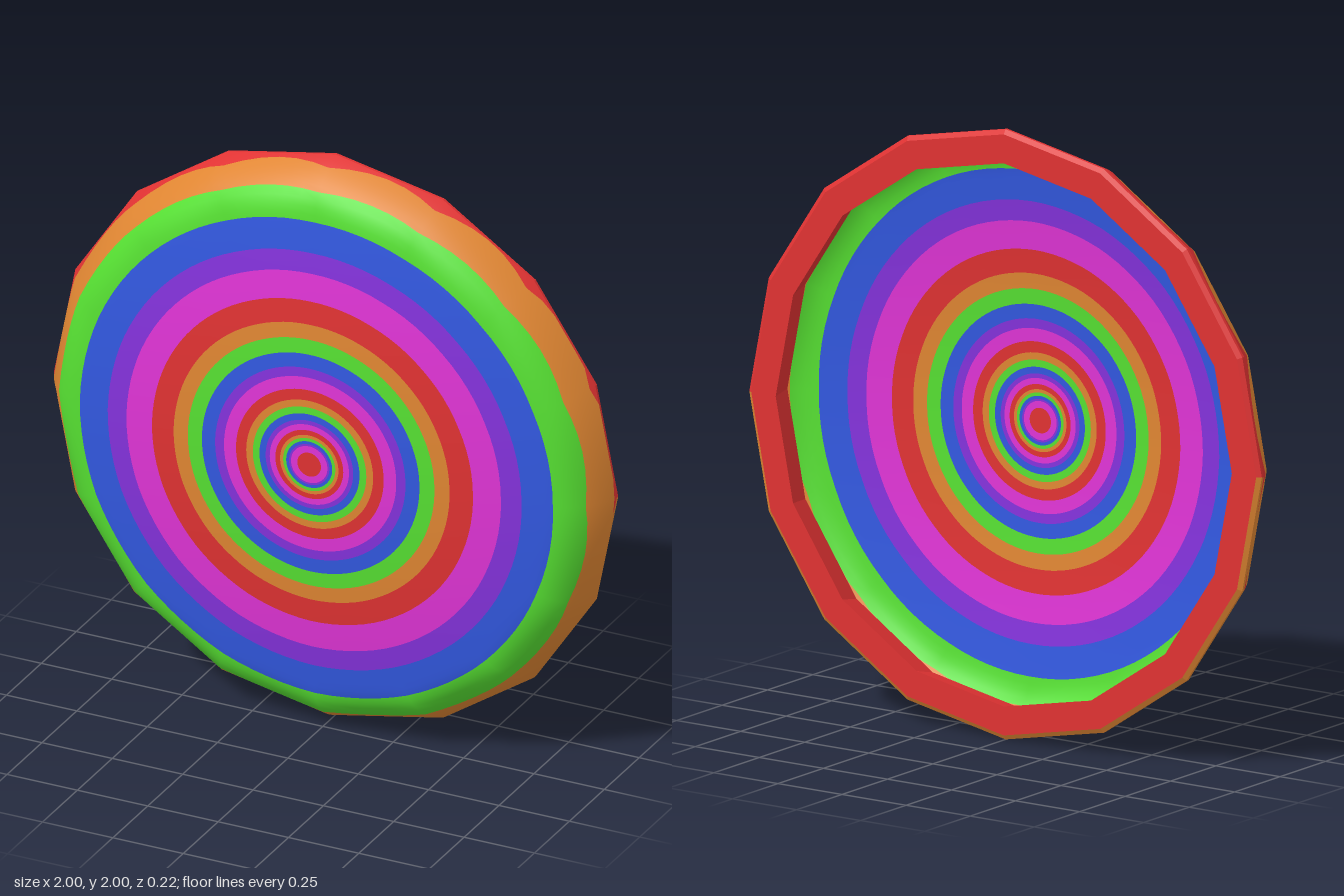
import * as THREE from 'three';

const SIDES = 16, STEPS = 96; // polygon outline, angular steps
const INNER_LIMIT = 0.92, THICKNESS = 0.03; // hollow side of the dish

const paint = (name, color) => new THREE.MeshStandardMaterial({ name, color, side: THREE.DoubleSide });
const materials = [
  paint('red', 0xe03232), paint('orange', 0xe08632), paint('green', 0x56e032),
  paint('blue', 0x3258e0), paint('purple', 0x8432dc), paint('magenta', 0xe034d6),
];

// Depth of the dish at relative radius p (0 centre, 1 rim)
function depth(p) {
  const s = Math.max(0, (p - 0.82) / 0.18);
  return 0.11 - 0.0725 * p * p - 0.1275 * s ** 3;
}

// Painted rings from the rim inwards: [inner radius, material index]
function ringBands() {
  const bands = [[0.99, 0], [0.933, 1]];
  const period = [[0.84, 2], [0.735, 3], [0.665, 4], [0.57, 5], [0.49, 0], [0.438, 1]];
  for (let n = 0; n < 4; n++) {
    const k = Math.pow(0.46, n);
    for (const [r, m] of period) if (r * k > 0.06) bands.push([r * k, m]);
  }
  bands.push([0.042, 5], [0, 0]);
  return bands;
}

// Polygonal bowl cut along circular ring borders, which sit slightly off centre
function dishGeometry({ cx, cy, scale, limit, inset }) {
  const position = [], normal = [], index = [];
  const geometry = new THREE.BufferGeometry();
  const addRow = (R) => {
    for (let i = 0; i < STEPS; i++) {
      const a = (i / STEPS) * Math.PI * 2;
      const dx = Math.cos(a), dy = Math.sin(a);
      const wedge = Math.PI / SIDES;
      const edge = Math.cos(wedge) / Math.cos((a % (2 * wedge)) - wedge);
      const along = cx * dx + cy * dy;
      const reach = along + Math.sqrt(Math.max(0, along * along - cx * cx - cy * cy + R * R));
      const t = R === 0 ? 0 : Math.min(edge * limit, reach);
      const p = t / edge;
      const slope = (depth(p + 0.001) - depth(p - 0.001)) / 0.002;
      const length = Math.hypot(slope, 1);
      position.push(dx * t, dy * t, depth(p) - inset);
      normal.push(-slope * dx / length, -slope * dy / length, 1 / length);
    }
  };
  let outer = 1.04, row = 0;
  addRow(outer);
  for (const [radius, material] of ringBands()) {
    const inner = radius * scale;
    const start = index.length;
    const parts = inner === 0 ? 1 : outer > 0.5 ? 4 : 2;
    for (let k = 1; k <= parts; k++) {
      addRow(outer + (inner - outer) * k / parts);
      row++;
      for (let i = 0; i < STEPS; i++) {
        const j = (i + 1) % STEPS, o = (row - 1) * STEPS, n = row * STEPS;
        index.push(n + i, o + i, o + j);
        if (inner > 0) index.push(n + i, o + j, n + j);
      }
    }
    geometry.addGroup(start, index.length - start, material);
    outer = inner;
  }
  geometry.setAttribute('position', new THREE.Float32BufferAttribute(position, 3));
  geometry.setAttribute('normal', new THREE.Float32BufferAttribute(normal, 3));
  geometry.setIndex(index);
  return geometry;
}

// Flat-sided lip: inner wall, back face, small bevel and outer wall
function rimGeometry() {
  const profile = [
    [INNER_LIMIT, depth(INNER_LIMIT) - THICKNESS], [0.89, -0.11], [0.985, -0.11], [1, -0.1], [1, -0.09],
  ].map(([r, z]) => new THREE.Vector2(r, z));
  const geometry = new THREE.LatheGeometry(profile, SIDES).rotateX(Math.PI / 2).toNonIndexed();
  geometry.computeVertexNormals();
  geometry.clearGroups();
  for (let i = 0; i < SIDES; i++) {
    const upper = i >= 4 && i < 12;
    geometry.addGroup(i * 24, 12, 0);
    geometry.addGroup(i * 24 + 12, 12, upper ? 0 : 1);
  }
  return geometry;
}

export function createModel() {
  const group = new THREE.Group();
  group.name = 'ringedDisc';
  const parts = {
    frontShell: dishGeometry({ cx: 0.006, cy: -0.015, scale: 1, limit: 1, inset: 0 }),
    innerShell: dishGeometry({ cx: -0.008, cy: 0.01, scale: 0.988, limit: INNER_LIMIT, inset: THICKNESS }),
    backRim: rimGeometry(),
  };
  for (const [name, geometry] of Object.entries(parts)) {
    const mesh = new THREE.Mesh(geometry, materials);
    mesh.name = name;
    mesh.position.y = 1;
    group.add(mesh);
  }
  return group;
}
